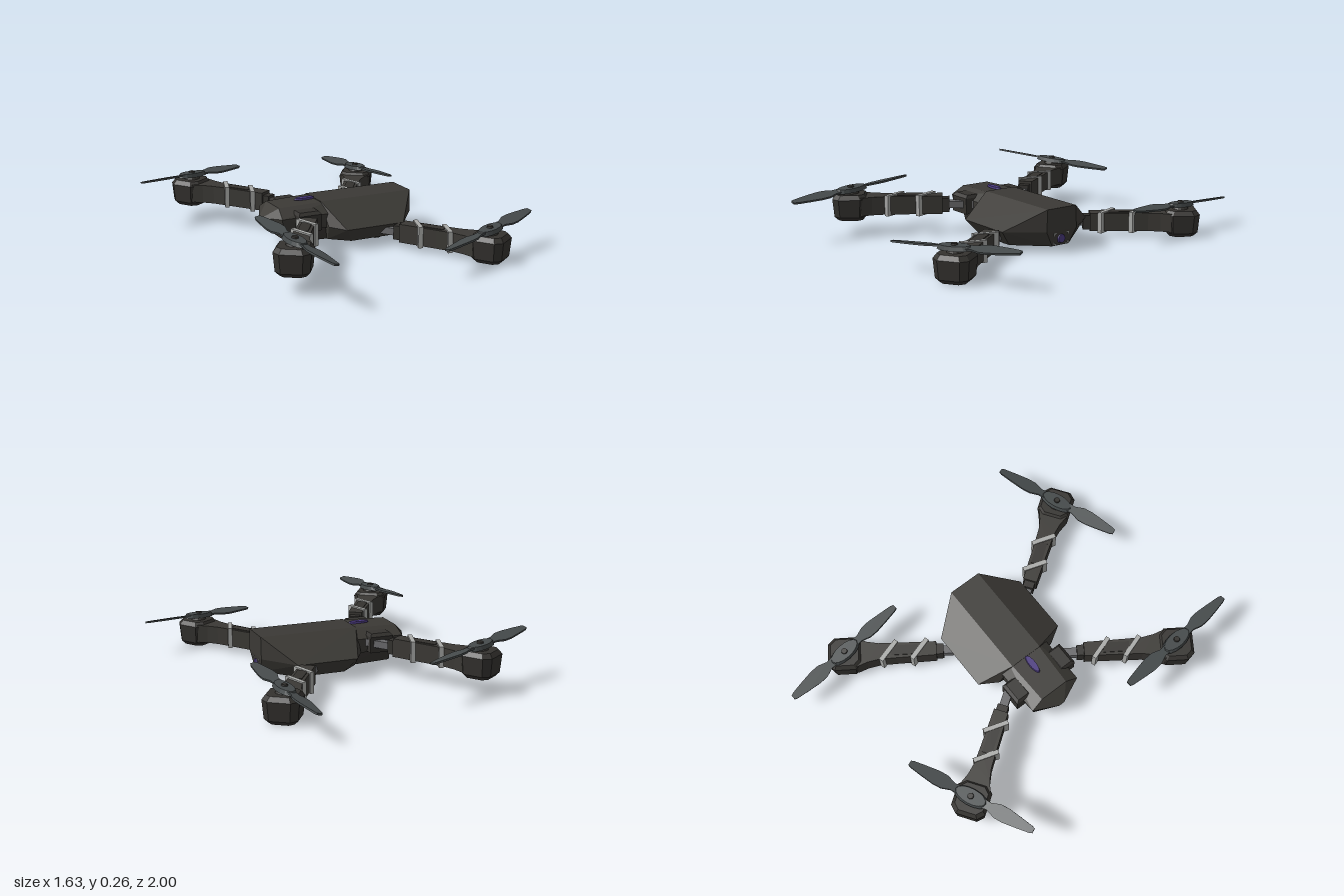
import * as THREE from 'three';
import { ConvexGeometry } from 'three/addons/geometries/ConvexGeometry.js';

const mat = (color) => new THREE.MeshStandardMaterial({ color, flatShading: true });
const shell = mat(0x3b3935), dark = mat(0x34322f), bladeMat = mat(0x454a4b);
const metal = mat(0x69696b), light = mat(0xa9aaa8), violet = mat(0x4b3a80);

function add(parent, name, geometry, material, x = 0, y = 0, z = 0) {
  const mesh = new THREE.Mesh(geometry, material);
  mesh.name = name;
  mesh.position.set(x, y, z);
  parent.add(mesh);
  return mesh;
}

const box = (w, h, d) => new THREE.BoxGeometry(w, h, d);

// Faceted hull from [x, y, half width] points mirrored across z
function hull(points) {
  return new ConvexGeometry(points.flatMap(([x, y, z]) =>
    [new THREE.Vector3(x, y, z), new THREE.Vector3(x, y, -z)]));
}

// Flat plan shape from [x, half width] points, thickened upwards
function plate(halfOutline, height) {
  const pts = [...halfOutline, ...halfOutline.map(([x, w]) => [x, -w]).reverse()];
  const shape = new THREE.Shape(pts.map(([x, w]) => new THREE.Vector2(x, w)));
  return new THREE.ExtrudeGeometry(shape, { depth: height, bevelEnabled: false })
    .rotateX(-Math.PI / 2).translate(0, -height / 2, 0);
}

function createBody() {
  const body = new THREE.Group();
  body.name = 'body';
  body.position.z = 0.025;
  add(body, 'mainHull', hull([
    [-0.1, 0.215, 0.085], [0.4, 0.215, 0.085],
    [-0.095, 0.105, 0.165], [-0.04, 0.105, 0.255], [0.27, 0.105, 0.255], [0.4, 0.105, 0.09],
    [-0.08, 0.03, 0.12], [0.01, 0.03, 0.2], [0.25, 0.03, 0.2], [0.39, 0.03, 0.05],
  ]), shell);
  add(body, 'tailHull', hull([
    [-0.05, 0.213, 0.085], [-0.32, 0.205, 0.075],
    [-0.05, 0.165, 0.14], [-0.33, 0.165, 0.14], [-0.385, 0.15, 0.015],
    [-0.05, 0.095, 0.14], [-0.32, 0.095, 0.125], [-0.36, 0.1, 0.015],
  ]), shell);
  add(body, 'batteryBlock', hull([
    [-0.28, 0.1, 0.11], [0, 0.1, 0.13], [-0.28, 0.03, 0.09], [0, 0.03, 0.12],
  ]), dark);

  // Hinge housings for the upper arms
  for (const s of [-1, 1]) {
    add(body, 'armHinge', hull([
      [-0.26, 0.18, 0.045], [-0.14, 0.18, 0.045], [-0.26, 0.1, 0.045], [-0.14, 0.1, 0.045],
      [-0.25, 0.195, 0.03], [-0.15, 0.195, 0.03],
    ]), dark, 0, 0, s * 0.135);
    add(body, 'lowerHingePin', new THREE.CylinderGeometry(0.025, 0.025, 0.02, 12), dark, 0.17, 0.027, s * 0.15);
  }

  // Status light on the lid
  const lamp = add(body, 'statusLight', new THREE.CylinderGeometry(0.05, 0.055, 0.01, 16), violet, -0.15, 0.217, 0);
  lamp.scale.z = 0.32;

  // Camera in the end face, framed by four corner ticks
  const lens = add(body, 'cameraLens', new THREE.CylinderGeometry(0.02, 0.024, 0.014, 16), violet, 0.396, 0.063, 0);
  lens.rotation.z = -Math.PI / 2;
  for (const sy of [-1, 1]) for (const sz of [-1, 1]) {
    add(body, 'cameraFrame', box(0.006, 0.004, 0.014), light, 0.397, 0.064 + sy * 0.027, sz * 0.037);
    add(body, 'cameraFrame', box(0.006, 0.012, 0.004), light, 0.397, 0.064 + sy * 0.022, sz * 0.043);
  }
  return body;
}

// Arm along local x, with the motor pod at its origin
function createArm(s) {
  const arm = new THREE.Group();
  arm.name = 'arm';
  const rings = [[-0.07, 0.06], [-0.05, 0.078], [0.04, 0.086], [0.062, 0.07]];
  add(arm, 'motorPod', hull(rings.flatMap(([y, h]) => {
    const c = h * 0.62;
    return [[h, y, c], [c, y, h], [-c, y, h], [-h, y, c]];
  })), dark);
  add(arm, 'armShell', plate([
    [-0.46, 0.036], [-0.26, 0.04], [-0.17, 0.043], [-0.11, 0.055], [-0.06, 0.075], [0, 0.07],
  ], 0.092), shell, 0, 0.003, 0);
  add(arm, 'armTopPanel', box(0.13, 0.006, 0.05), dark, -0.3, 0.05, 0);
  add(arm, 'armEndBlock', box(0.05, 0.07, 0.055), dark, -0.47, 0, 0);

  // Folding strut running into the body
  add(arm, 'strut', box(0.2, 0.035, 0.042), metal, -0.54, 0, 0);

  // Slanted wrap bands
  for (const x of [-0.22, -0.375]) {
    const band = add(arm, 'band', box(0.128, 0.106, 0.022), light, x, 0.003, 0);
    band.rotation.y = -s * 0.91;
  }
  return arm;
}

function createPropeller(s) {
  const propeller = new THREE.Group();
  propeller.name = 'propeller';
  const blade = plate([
    [0.06, 0.022], [0.1, 0.02], [0.145, 0.036], [0.19, 0.037],
    [0.26, 0.028], [0.325, 0.018], [0.34, 0.012],
  ], 0.009);
  for (const turn of [0, Math.PI]) {
    const holder = new THREE.Group();
    holder.name = 'blade';
    holder.rotation.y = turn;
    add(holder, 'bladeSurface', blade, bladeMat).rotation.x = s * 0.2;
    propeller.add(holder);
  }
  const hub = add(propeller, 'hub', new THREE.CylinderGeometry(0.036, 0.042, 0.02, 16), bladeMat);
  hub.scale.x = 2.2;
  add(propeller, 'hubCap', new THREE.CylinderGeometry(0.014, 0.016, 0.01, 12), dark, 0, 0.013, 0);
  add(propeller, 'motorShaft', new THREE.CylinderGeometry(0.032, 0.045, 0.03, 16), dark, 0, -0.018, 0);
  return propeller;
}

export function createModel() {
  const model = new THREE.Group();
  model.name = 'quadcopter';
  model.add(createBody());

  // Arms at +x sit low, arms at -x sit high
  for (const sx of [-1, 1]) for (const sz of [-1, 1]) {
    const s = sx * sz;
    const y = sx > 0 ? 0.07 : 0.147;
    const z = 0.02 + sz * (sx > 0 ? 0.68 : 0.64);
    const arm = createArm(s);
    arm.position.set(sx * 0.5, y, z);
    arm.rotation.y = Math.atan2(-sz * 0.826, sx * 0.565);
    model.add(arm);

    // Rotor plane leans slightly, blades are parked at an angle
    const rotor = new THREE.Group();
    rotor.name = 'rotor';
    rotor.position.set(sx * 0.495, y + 0.083, z);
    rotor.rotation.set(sz * 0.05, 0, sx * 0.045);
    const propeller = createPropeller(s);
    propeller.rotation.y = s > 0 ? 0.39 : 1.67;
    rotor.add(propeller);
    model.add(rotor);
  }
  return model;
}
